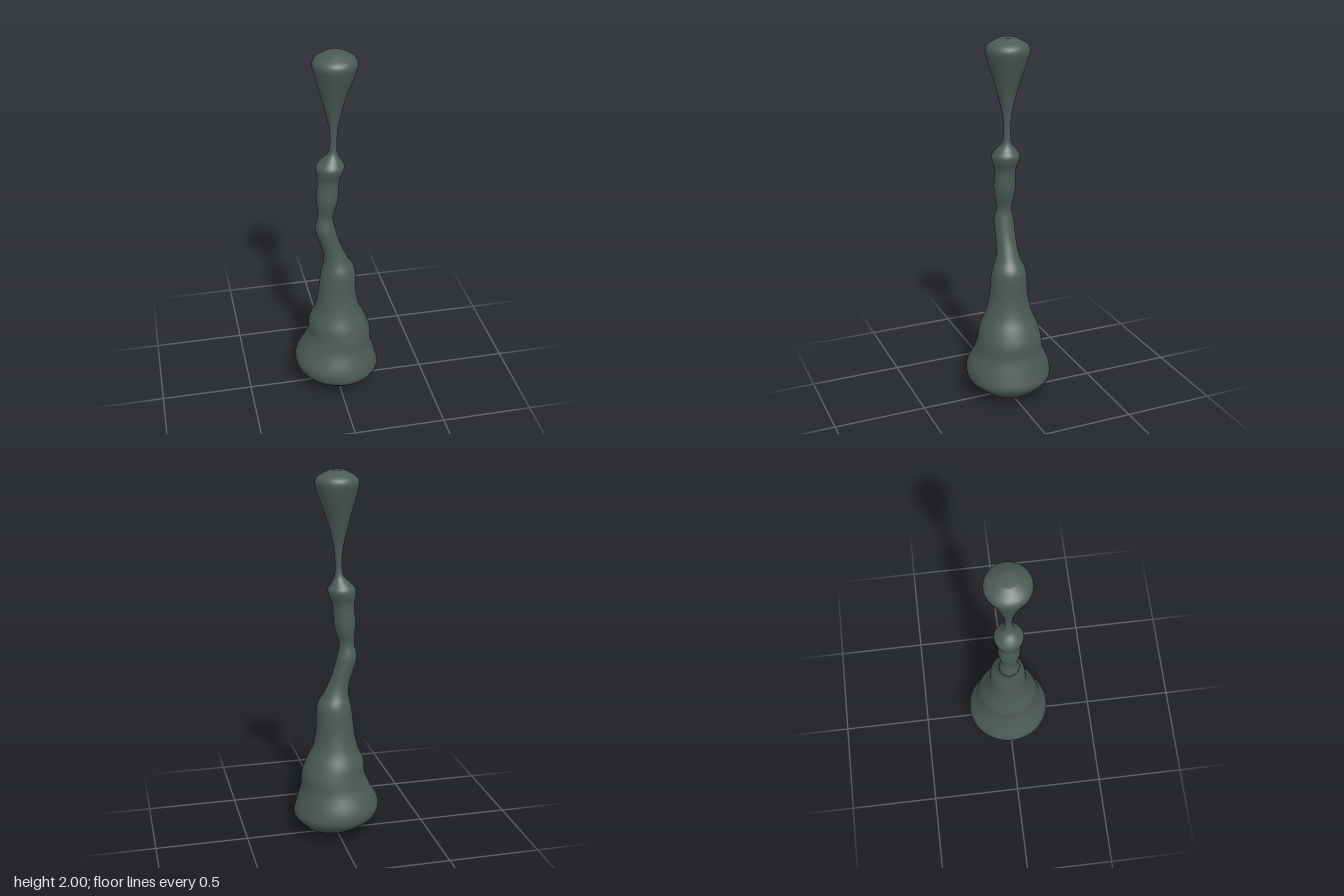
import * as THREE from 'three';

// Cross-sections from bottom to top: [height, right edge x, left edge x, half depth]
const SECTIONS = [
  [0, 0.015, 0.095, 0.045], [0.025, -0.05, 0.135, 0.095], [0.06, -0.145, 0.185, 0.165],
  [0.12, -0.221, 0.233, 0.229], [0.18, -0.235, 0.22, 0.231], [0.28, -0.187, 0.193, 0.192],
  [0.35, -0.16, 0.189, 0.177], [0.42, -0.153, 0.165, 0.16], [0.5, -0.12, 0.128, 0.127],
  [0.6, -0.1, 0.109, 0.105], [0.72, -0.086, 0.105, 0.096], [0.76, -0.077, 0.095, 0.087],
  [0.8, -0.07, 0.07, 0.07], [0.85, -0.071, 0.046, 0.058], [0.92, -0.09, 0.017, 0.055],
  [1.01, -0.115, -0.007, 0.054], [1.08, -0.101, -0.019, 0.041], [1.15, -0.104, 0, 0.053],
  [1.2, -0.107, 0.01, 0.058], [1.3, -0.1, 0.016, 0.057], [1.35, -0.108, 0.036, 0.072],
  [1.38, -0.107, 0.042, 0.075], [1.41, -0.085, 0.026, 0.056], [1.44, -0.052, 0.01, 0.031],
  [1.47, -0.037, 0.004, 0.021], [1.58, -0.036, 0.007, 0.022], [1.65, -0.05, 0.02, 0.035],
  [1.75, -0.075, 0.046, 0.06], [1.89, -0.113, 0.097, 0.105], [1.935, -0.122, 0.108, 0.115],
  [1.96, -0.113, 0.1, 0.107], [1.985, -0.077, 0.065, 0.071], [2, -0.047, 0.034, 0.04],
];
const SIDES = 48;
const STEPS = 4; // rings per section

// Smooth curves through the centre line and through the ring radii
function smoothRings() {
  const centre = new THREE.CatmullRomCurve3(SECTIONS.map(([y, a, b]) => new THREE.Vector3((a + b) / 2, y, 0)));
  const radius = new THREE.CatmullRomCurve3(SECTIONS.map(([y, a, b, d]) => new THREE.Vector3((b - a) / 2, y, d)));
  const n = (SECTIONS.length - 1) * STEPS;
  return Array.from({ length: n + 1 }, (_, i) => {
    const c = centre.getPoint(i / n);
    const r = radius.getPoint(i / n);
    return { x: c.x, y: r.y, rx: r.x, rz: r.z };
  });
}

// Skin of stacked elliptical rings, closed at the top
function bodyGeometry(rings) {
  const positions = [];
  const indices = [];
  for (const { x, y, rx, rz } of rings) {
    for (let j = 0; j < SIDES; j++) {
      const a = (j / SIDES) * Math.PI * 2;
      positions.push(x + Math.sin(a) * rx, y, Math.cos(a) * rz);
    }
  }
  for (let i = 0; i < rings.length - 1; i++) {
    for (let j = 0; j < SIDES; j++) {
      const a = i * SIDES + j;
      const b = i * SIDES + ((j + 1) % SIDES);
      indices.push(a, b, b + SIDES, a, b + SIDES, a + SIDES);
    }
  }
  const last = rings[rings.length - 1];
  const start = (rings.length - 1) * SIDES;
  const tip = positions.length / 3;
  positions.push(last.x, last.y, 0);
  for (let j = 0; j < SIDES; j++) indices.push(start + j, start + ((j + 1) % SIDES), tip);

  const geometry = new THREE.BufferGeometry();
  geometry.setAttribute('position', new THREE.Float32BufferAttribute(positions, 3));
  geometry.setIndex(indices);
  geometry.computeVertexNormals();
  return geometry;
}

export function createModel() {
  const model = new THREE.Group();
  model.name = 'turnedColumn';
  const slate = new THREE.MeshStandardMaterial({ color: 0x4b5a54 });
  slate.name = 'slateGreen';

  // Winding body
  const rings = smoothRings();
  const body = new THREE.Mesh(bodyGeometry(rings), slate);
  body.name = 'body';
  model.add(body);

  // Flat foot, facing down
  const foot = new THREE.Mesh(new THREE.CircleGeometry(1, SIDES), slate);
  foot.name = 'foot';
  foot.rotation.x = Math.PI / 2;
  foot.scale.set(rings[0].rx, rings[0].rz, 1);
  foot.position.x = rings[0].x;
  model.add(foot);

  return model;
}
